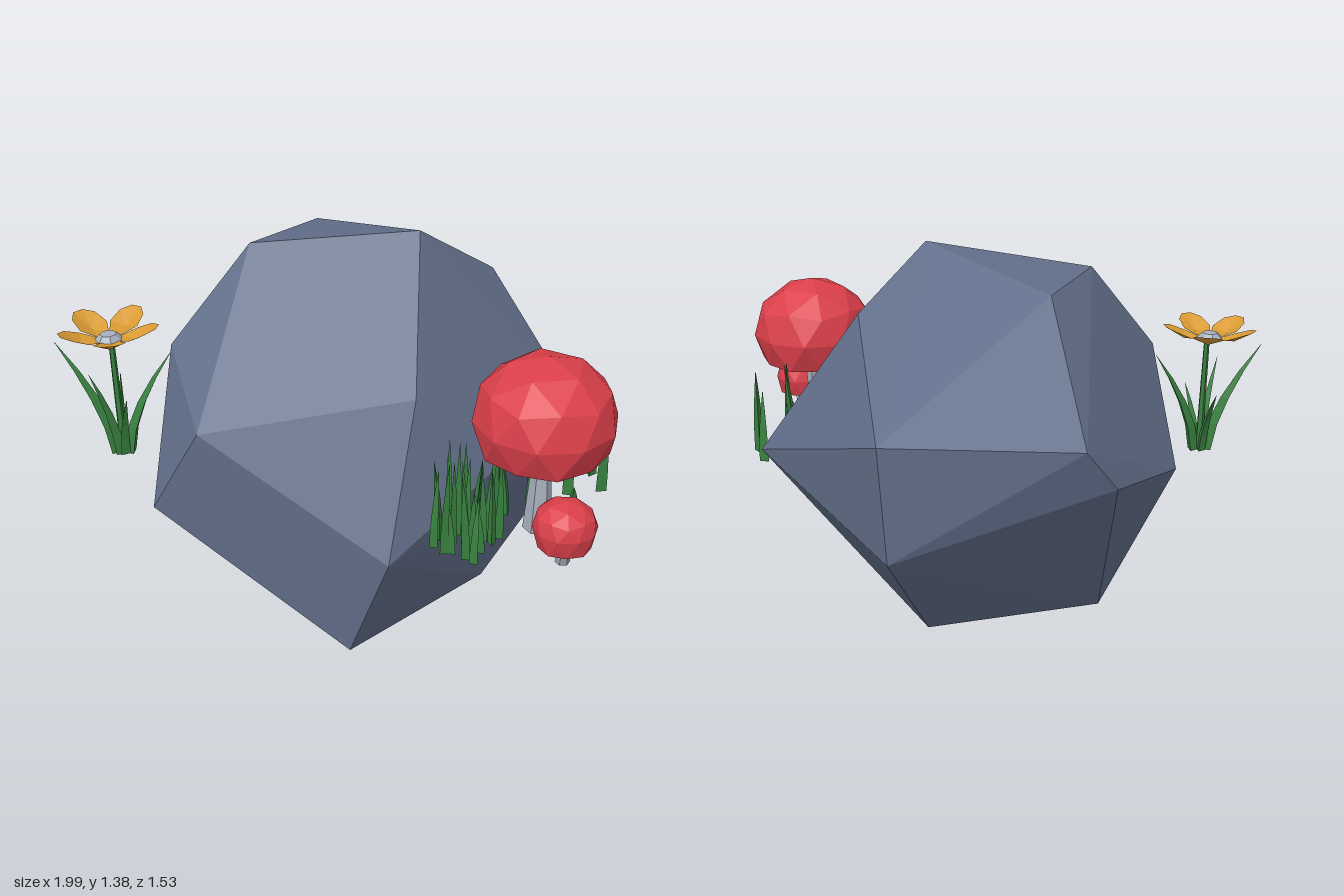
import * as THREE from 'three';
import { ConvexGeometry } from 'three/addons/geometries/ConvexGeometry.js';

const mat = (name, color, extra = {}) => {
  const m = new THREE.MeshStandardMaterial({ color, flatShading: true, ...extra });
  m.name = name;
  return m;
};

export function createModel() {
  const rockGrey = mat('rock grey', 0x616e89);
  const capRed = mat('cap red', 0xdb3f4a, { side: THREE.DoubleSide });
  const stemGrey = mat('stem grey', 0xa8b0be);
  const leafGreen = mat('leaf green', 0x38803f);
  const petalGold = mat('petal gold', 0xd99a33, { side: THREE.DoubleSide });

  const model = new THREE.Group();
  const add = (name, geometry, material, parent = model) => {
    const mesh = new THREE.Mesh(geometry, material);
    mesh.name = name;
    parent.add(mesh);
    return mesh;
  };
  const group = (name) => {
    const g = new THREE.Group();
    g.name = name;
    model.add(g);
    return g;
  };

  // Boulder: convex hull of its corners
  const corners = [
    [0.15, 1.38, 0.06], [-0.42, 1.29, 0.26], [-0.38, 1.27, -0.11], [0.29, 1.17, -0.23],
    [0.34, 0.95, 0.42], [-0.61, 0.95, 0.5], [-0.02, 0.91, -0.77], [-0.63, 0.88, -0.5],
    [-0.35, 0.76, 0.71], [-0.71, 0.72, -0.39], [0.69, 0.61, -0.27], [0.54, 0.64, 0.25],
    [-0.8, 0.6, 0.13], [-0.04, 0.49, -0.75], [0.37, 0.44, 0.65], [-0.58, 0.39, 0.71],
    [-0.56, 0.05, 0.02], [0.43, 0.05, 0.06], [-0.42, 0.03, 0.32], [0, 0.01, -0.31], [0.2, 0, 0.63],
  ];
  add('boulder', new ConvexGeometry(corners.map((c) => new THREE.Vector3(...c))), rockGrey);

  // Tapered three-sided tube from base to tip, bending outward as it rises
  const blade = (base, tip, width, turn = 0) => {
    const geo = new THREE.CylinderGeometry(1, 1, 1, 3, 4, false, turn);
    const p = geo.attributes.position;
    for (let i = 0; i < p.count; i++) {
      const t = p.getY(i) + 0.5;
      const r = width * Math.max(0.02, 1 - t * t);
      const bend = Math.pow(t, 1.6);
      p.setXYZ(i,
        base[0] + (tip[0] - base[0]) * bend + p.getX(i) * r,
        base[1] + (tip[1] - base[1]) * t,
        base[2] + (tip[2] - base[2]) * bend + p.getZ(i) * r);
    }
    geo.computeVertexNormals();
    return geo;
  };

  // Straight stem between two points, slightly waisted
  const stem = (from, to, radius) => {
    const geo = new THREE.CylinderGeometry(1, 1, 1, 6, 2);
    const p = geo.attributes.position;
    for (let i = 0; i < p.count; i++) {
      const t = p.getY(i) + 0.5;
      const r = radius * (Math.abs(t - 0.5) < 0.1 ? 0.72 : 1);
      p.setXYZ(i,
        from[0] + (to[0] - from[0]) * t + p.getX(i) * r,
        from[1] + (to[1] - from[1]) * t,
        from[2] + (to[2] - from[2]) * t + p.getZ(i) * r);
    }
    geo.computeVertexNormals();
    return geo;
  };

  // Faceted cap: a ball whose lower part is folded up inside as a hollow
  const cap = (radius, height, drop) => {
    const geo = new THREE.IcosahedronGeometry(1, 1);
    geo.rotateX(-Math.atan((1 + Math.sqrt(5)) / 2));
    const p = geo.attributes.position;
    for (let i = 0; i < p.count; i++) {
      const y = p.getY(i);
      let ny = y * height;
      if (y < -0.7) ny = -drop * 0.2;
      else if (y < -0.2) ny = -drop;
      p.setXYZ(i, p.getX(i) * radius, ny, p.getZ(i) * radius);
    }
    geo.computeVertexNormals();
    return geo;
  };

  // Mushrooms
  const big = group('largeMushroom');
  add('largeStem', stem([0.725, 0.49, 0.26], [0.73, 0.9, 0.265], 0.05), stemGrey, big);
  add('largeCap', cap(0.24, 0.22, 0.11), capRed, big).position.set(0.73, 0.92, 0.265);
  const small = group('smallMushroom');
  add('smallStem', stem([0.87, 0.475, 0.38], [0.9, 0.64, 0.435], 0.025), stemGrey, small);
  const smallCap = add('smallCap', cap(0.105, 0.093, 0.065), capRed, small);
  smallCap.position.set(0.89, 0.657, 0.435);
  smallCap.rotation.y = 0.5;

  // Grass: a dense tuft in front, taller blades behind
  let seed = 7;
  const rand = () => (seed = (seed * 16807) % 2147483647) / 2147483647;
  const grass = group('grass');
  const grow = (x, z, h, w) => {
    const tip = [x + (rand() - 0.5) * 0.05, 0.5 + h, z + (rand() - 0.5) * 0.05];
    add('grassBlade', blade([x, 0.5, z], tip, w, rand() * 6), leafGreen, grass);
  };
  for (let row = 0; row < 4; row++) {
    for (let i = 0; i < 5; i++) {
      grow(0.47 + i * 0.04 + rand() * 0.02, 0.38 + row * 0.055 + rand() * 0.02, 0.22 + rand() * 0.15, 0.016);
    }
  }
  [[0.76, -0.13, 0.28], [0.67, -0.05, 0.38], [0.83, -0.05, 0.33], [0.74, 0.03, 0.36],
    [0.64, 0.12, 0.15], [0.66, 0.18, 0.28], [0.6, 0.25, 0.25], [0.8, 0.14, 0.12],
    [0.58, 0.31, 0.27], [0.82, 0.25, 0.1]].forEach(([x, z, h]) => grow(x, z, h, 0.022));

  // Flower stalk and leaves
  const flower = group('flower');
  const C = [-0.8, 0.6];
  add('flowerStalk', new THREE.CylinderGeometry(0.011, 0.015, 0.47, 5), leafGreen, flower)
    .position.set(C[0], 0.735, C[1]);
  [[-1, 0.94, 0.68, 0.025], [-0.63, 0.91, 0.48, 0.025], [-0.72, 0.76, 0.64, 0.02],
    [-0.87, 0.77, 0.5, 0.02], [-0.83, 0.86, 0.7, 0.02]].forEach(([x, y, z, w], i) => {
    const base = [C[0] + (x - C[0]) * 0.13, 0.5, C[1] + (z - C[1]) * 0.13];
    add('flowerLeaf', blade(base, [x, y, z], w, i), leafGreen, flower);
  });

  // Petals: creased fans rising outward
  const outline = [[0.03, 0.965, 0.022], [0.09, 0.985, 0.058], [0.145, 1.008, 0.05], [0.178, 1.018, 0.02]];
  const ring = [...outline, ...outline.map(([r, y, w]) => [r, y, -w]).reverse()];
  const pts = [0.1, 0.968, 0];
  ring.forEach((v) => pts.push(...v));
  const faces = ring.flatMap((_, i) => [0, 1 + i, 1 + ((i + 1) % ring.length)]);
  const petal = new THREE.BufferGeometry();
  petal.setAttribute('position', new THREE.Float32BufferAttribute(pts, 3));
  petal.setIndex(faces);
  petal.computeVertexNormals();
  for (let i = 0; i < 5; i++) {
    const m = add('petal', petal, petalGold, flower);
    m.position.set(-0.81, 0, 0.595);
    m.rotation.y = 1.69 + (i * Math.PI * 2) / 5;
  }
  add('flowerCentre', new THREE.CylinderGeometry(0.03, 0.055, 0.025, 7), stemGrey, flower)
    .position.set(-0.81, 0.973, 0.6);

  return model;
}
